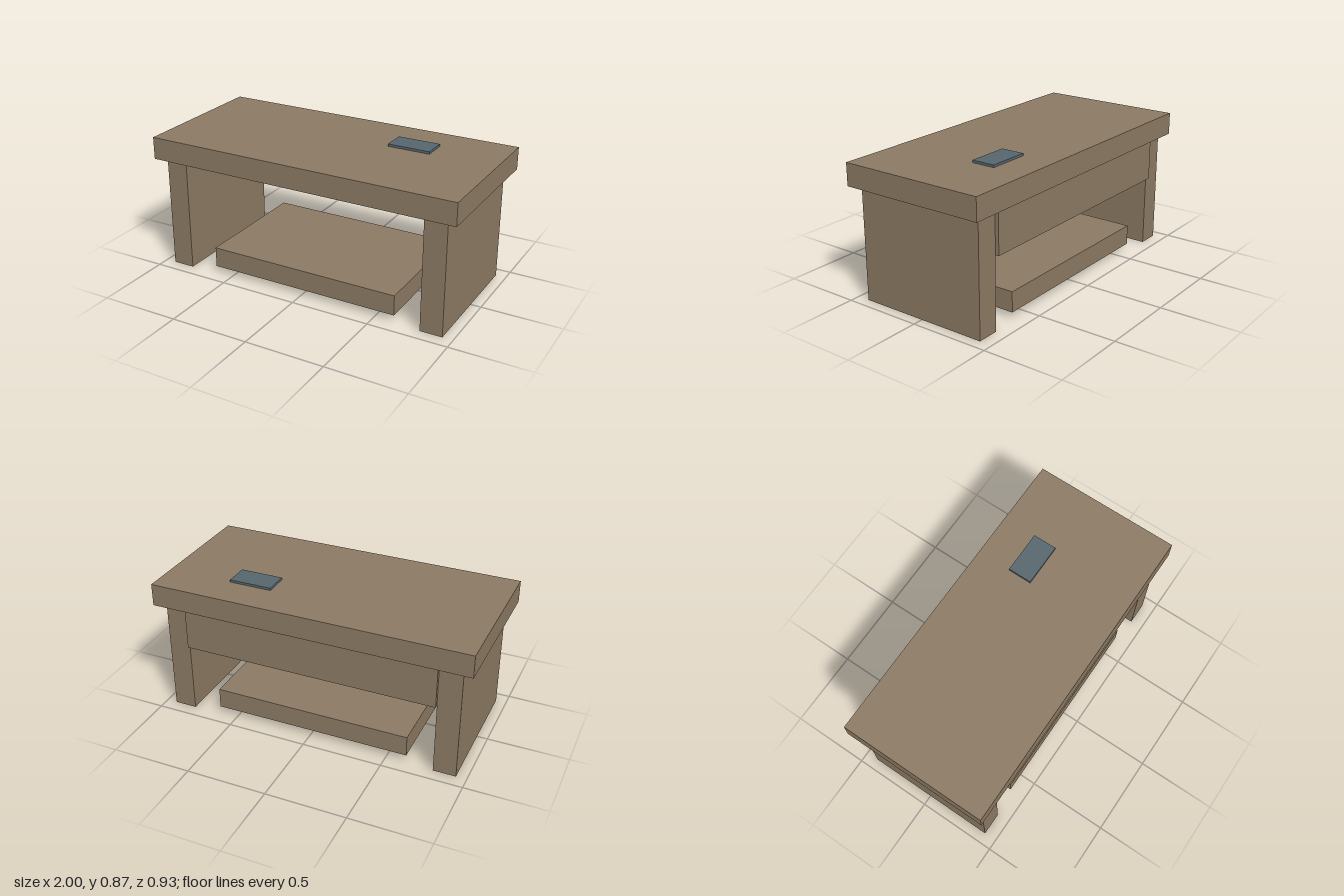
import * as THREE from 'three';

export function createModel() {
  const group = new THREE.Group();
  const wood = new THREE.MeshStandardMaterial({ color: 0x8b7962 });
  wood.name = 'brown wood';
  const slate = new THREE.MeshStandardMaterial({ color: 0x56666d });
  slate.name = 'slate grey';

  // Box spanning [min, max] on each axis
  function box(name, material, [x0, x1], [y0, y1], [z0, z1]) {
    const mesh = new THREE.Mesh(new THREE.BoxGeometry(x1 - x0, y1 - y0, z1 - z0), material);
    mesh.position.set((x0 + x1) / 2, (y0 + y1) / 2, (z0 + z1) / 2);
    mesh.name = name;
    group.add(mesh);
  }

  box('tableTop', wood, [-1, 1], [0.716, 0.856], [-0.465, 0.465]);

  // Slab legs, mirrored
  box('leftLeg', wood, [0.795, 0.935], [0, 0.716], [-0.421, 0.421]);
  box('rightLeg', wood, [-0.935, -0.795], [0, 0.716], [-0.421, 0.421]);

  // Apron between the legs at the back, standing slightly proud of them
  box('backPanel', wood, [-0.795, 0.795], [0.456, 0.716], [-0.444, -0.354]);

  // Low shelf between the legs
  box('lowerShelf', wood, [-0.622, 0.622], [0.04, 0.168], [-0.4, 0.4]);

  // Thin tablet lying on the top
  box('tablet', slate, [0.316, 0.585], [0.856, 0.871], [-0.248, -0.098]);

  return group;
}
